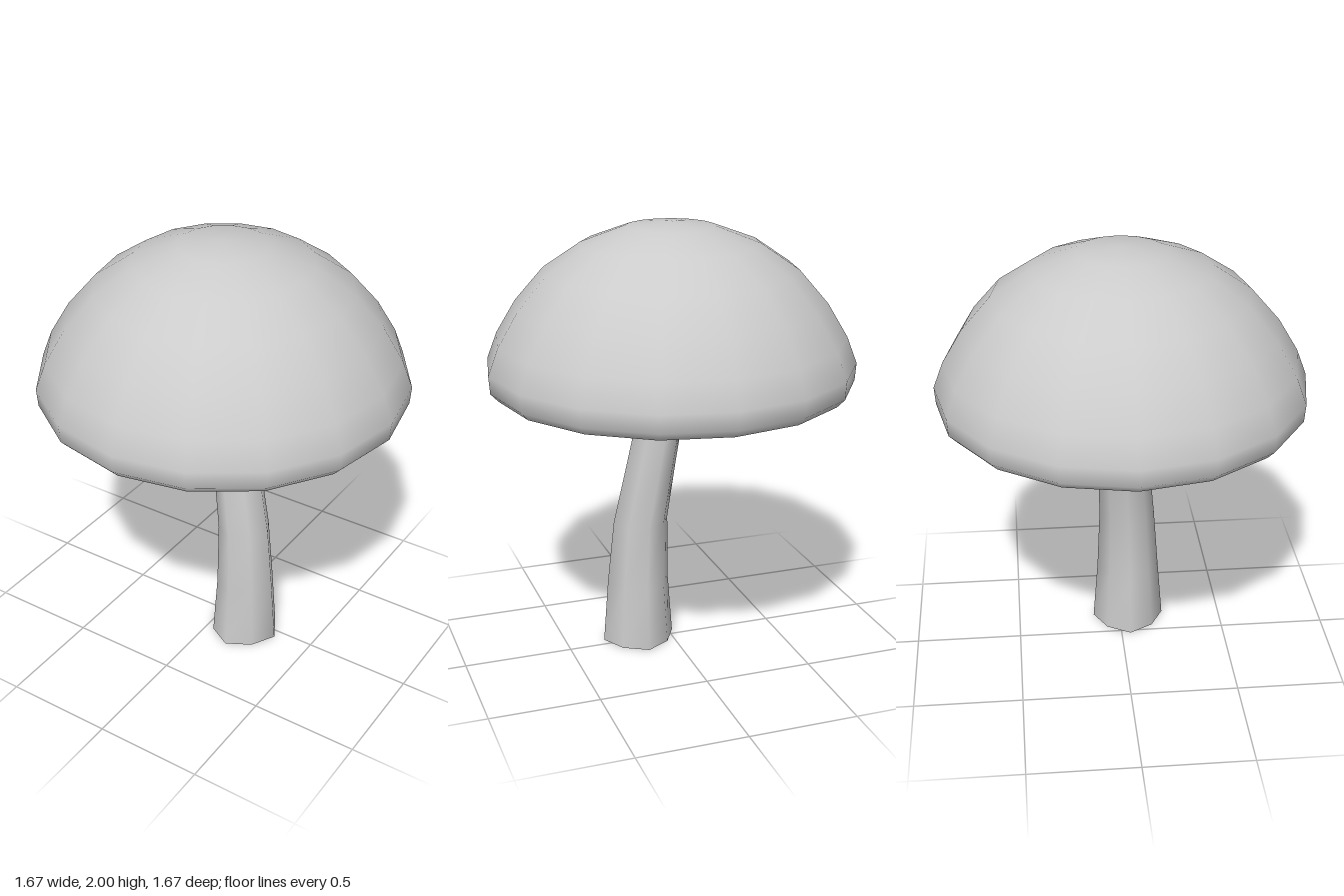
import * as THREE from 'three';
import { mergeVertices } from 'three/addons/utils/BufferGeometryUtils.js';

const material = new THREE.MeshStandardMaterial({ color: 0xcccccc });

// Welds seams and poles so the normals are smooth everywhere.
function smoothMesh(geometry, name) {
  geometry.deleteAttribute('uv');
  geometry.deleteAttribute('normal');
  const welded = mergeVertices(geometry);
  welded.computeVertexNormals();
  const mesh = new THREE.Mesh(welded, material);
  mesh.name = name;
  return mesh;
}

// Hollow dome: inner surface down to the rolled rim, then up the outside.
function createCap() {
  const profile = [
    [0, 1.95], [0.18, 1.93], [0.36, 1.86], [0.51, 1.75], [0.63, 1.6], [0.69, 1.47],
    [0.695, 1.37], [0.69, 1.3], [0.72, 1.255], [0.765, 1.245], [0.795, 1.253], [0.83, 1.29],
    [0.836, 1.37], [0.79, 1.49], [0.7, 1.64], [0.57, 1.79], [0.4, 1.905], [0.2, 1.98], [0, 2],
  ].map(([r, y]) => new THREE.Vector2(r, y));
  return smoothMesh(new THREE.LatheGeometry(profile, 16), 'cap');
}

// Eight-sided section whose diagonal corners sit closer in than the axis ones.
const DIAGONAL = 0.91;
const section = Array.from({ length: 8 }, (_, i) => {
  const r = i % 2 ? DIAGONAL : 1;
  return new THREE.Vector2(r * Math.cos(i * Math.PI / 4), r * Math.sin(i * Math.PI / 4));
});

// Bent, tapering stem; each ring is [centre x, y, centre z, radius].
function createStem() {
  const rings = [
    [0.15, 0, 0.044, 0.172],
    [0.15, 0.3, 0.043, 0.149],
    [0.136, 0.6, 0.037, 0.132],
    [0.09, 0.87, 0.02, 0.121],
    [0.046, 1.12, 0.006, 0.113],
    [0.033, 1.27, 0.003, 0.108],
    [0.01, 1.6, 0, 0.105],
    [0, 1.94, 0, 0.105],
  ];
  const last = rings.length - 1;
  const geometry = new THREE.CylinderGeometry(1, 1, 1, 8, last, true);
  const position = geometry.attributes.position;
  for (let i = 0; i < position.count; i++) {
    const [x, y, z, r] = rings[Math.round((position.getY(i) + 0.5) * last)];
    const angle = Math.atan2(position.getZ(i), position.getX(i));
    const corner = section[(Math.round(angle / (Math.PI / 4)) + 8) % 8];
    position.setXYZ(i, x + corner.x * r, y, z + corner.y * r);
  }

  // Flat underside closing the stem
  const [x, y, z, r] = rings[0];
  const baseGeometry = new THREE.ShapeGeometry(new THREE.Shape(section)).rotateX(Math.PI / 2);
  const base = new THREE.Mesh(baseGeometry, material);
  base.name = 'stemBase';
  base.scale.set(r, 1, r);
  base.position.set(x, y, z);

  const group = new THREE.Group();
  group.name = 'stemGroup';
  group.add(smoothMesh(geometry, 'stem'), base);
  return group;
}

export function createModel() {
  const model = new THREE.Group();
  model.name = 'mushroom';
  model.add(createCap(), createStem());
  return model;
}
